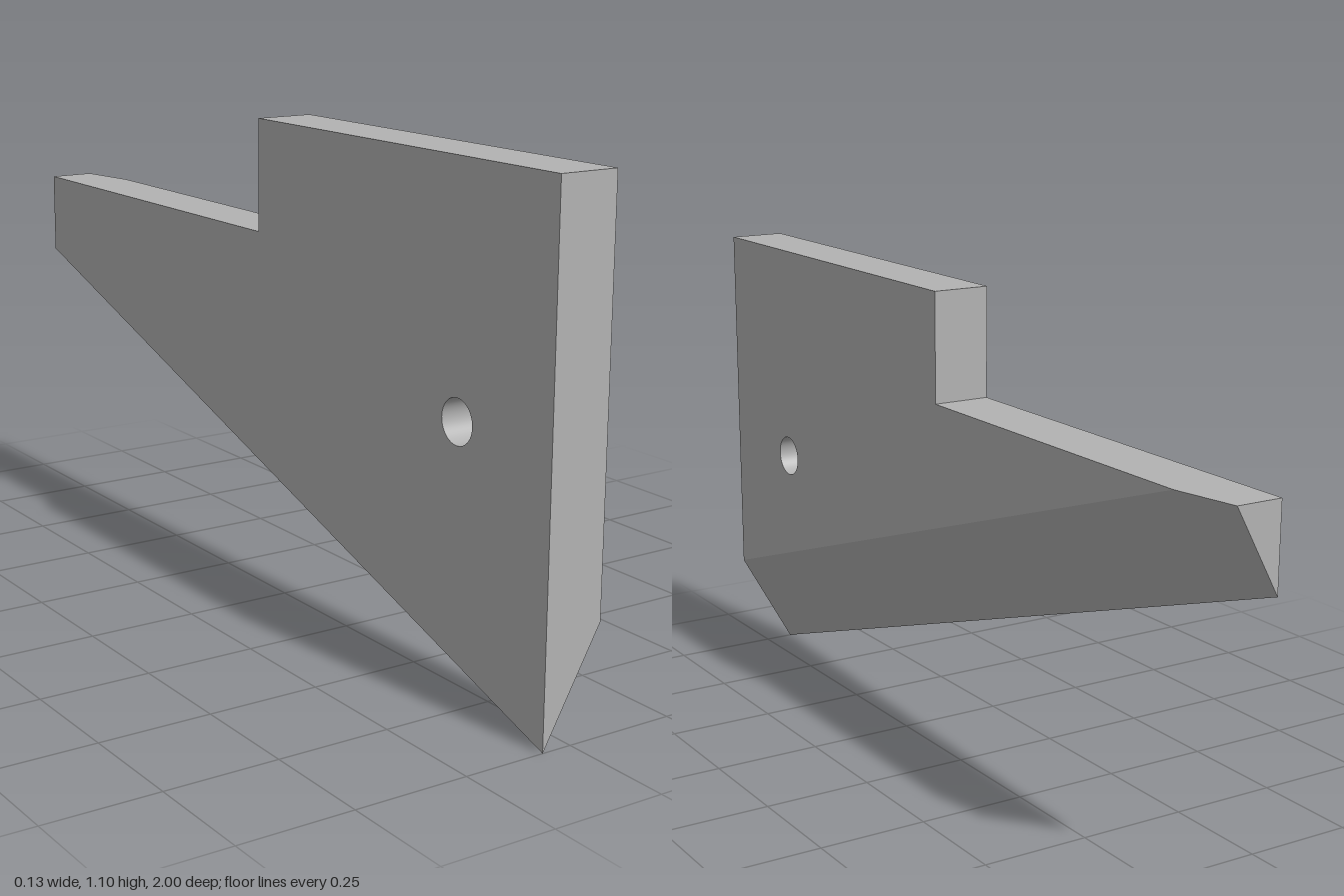
import * as THREE from 'three';

// Plate extents and key heights
const L = -0.068, R = 0.065;
const TOP = 1.109, LEDGE = 0.86, LOW = 0.006, BEVEL = 0.243, TAIL = 0.67;
const BEVEL_END = -0.85, APEX = 0.037;
const HOLE = { z: 0.717, y: 0.591, r: 0.048 };

export function createModel() {
  const group = new THREE.Group();
  const steel = new THREE.MeshStandardMaterial({ color: 0xb2b2b2 });
  steel.name = 'plain grey';

  const add = (name, geometry) => {
    const mesh = new THREE.Mesh(geometry, steel);
    mesh.name = name;
    group.add(mesh);
    return mesh;
  };

  // Flat side with the pin hole, from a [z, y] outline; side is +1 or -1 along x
  const side = (name, x, sign, outline) => {
    const shape = new THREE.Shape(outline.map(([z, y]) => new THREE.Vector2(-sign * z, y)));
    const hole = new THREE.Path();
    hole.absarc(-sign * HOLE.z, HOLE.y, HOLE.r, 0, Math.PI * 2);
    shape.holes.push(hole);
    const geometry = new THREE.ShapeGeometry(shape, 24);
    geometry.rotateY(sign * Math.PI / 2).translate(x, 0, 0);
    add(name, geometry);
  };

  // Flat convex face from its corners, counter-clockwise seen from outside
  const face = (name, corners) => {
    const positions = [];
    for (let i = 1; i < corners.length - 1; i++) {
      positions.push(...corners[0], ...corners[i], ...corners[i + 1]);
    }
    const geometry = new THREE.BufferGeometry();
    geometry.setAttribute('position', new THREE.Float32BufferAttribute(positions, 3));
    geometry.computeVertexNormals();
    add(name, geometry);
  };

  const upper = [[1, TOP], [0, TOP], [0, LEDGE]];
  side('bevelledSide', R, 1, [[1, BEVEL], ...upper, [BEVEL_END, LEDGE]]);
  side('plainSide', L, -1, [[1, LOW], ...upper, [-1, LEDGE], [-1, TAIL]]);

  // Edges around the plate
  face('frontEdge', [[L, LOW, 1], [R, BEVEL, 1], [R, TOP, 1], [L, TOP, 1]]);
  face('topEdge', [[L, TOP, 1], [R, TOP, 1], [R, TOP, 0], [L, TOP, 0]]);
  face('stepEdge', [[R, LEDGE, 0], [L, LEDGE, 0], [L, TOP, 0], [R, TOP, 0]]);
  face('ledge', [[L, LEDGE, 0], [R, LEDGE, 0], [R, LEDGE, BEVEL_END], [APEX, LEDGE, -1], [L, LEDGE, -1]]);
  face('tailEnd', [[APEX, LEDGE, -1], [L, TAIL, -1], [L, LEDGE, -1]]);
  face('cuttingBevel', [[L, LOW, 1], [L, TAIL, -1], [APEX, LEDGE, -1], [R, LEDGE, BEVEL_END], [R, BEVEL, 1]]);

  // Inner wall of the hole: a descending profile faces inward
  const half = (R - L) / 2;
  const bore = new THREE.LatheGeometry(
    [new THREE.Vector2(HOLE.r, half), new THREE.Vector2(HOLE.r, -half)], 48);
  bore.rotateZ(Math.PI / 2).translate((L + R) / 2, HOLE.y, HOLE.z);
  add('pinHole', bore);

  return group;
}
